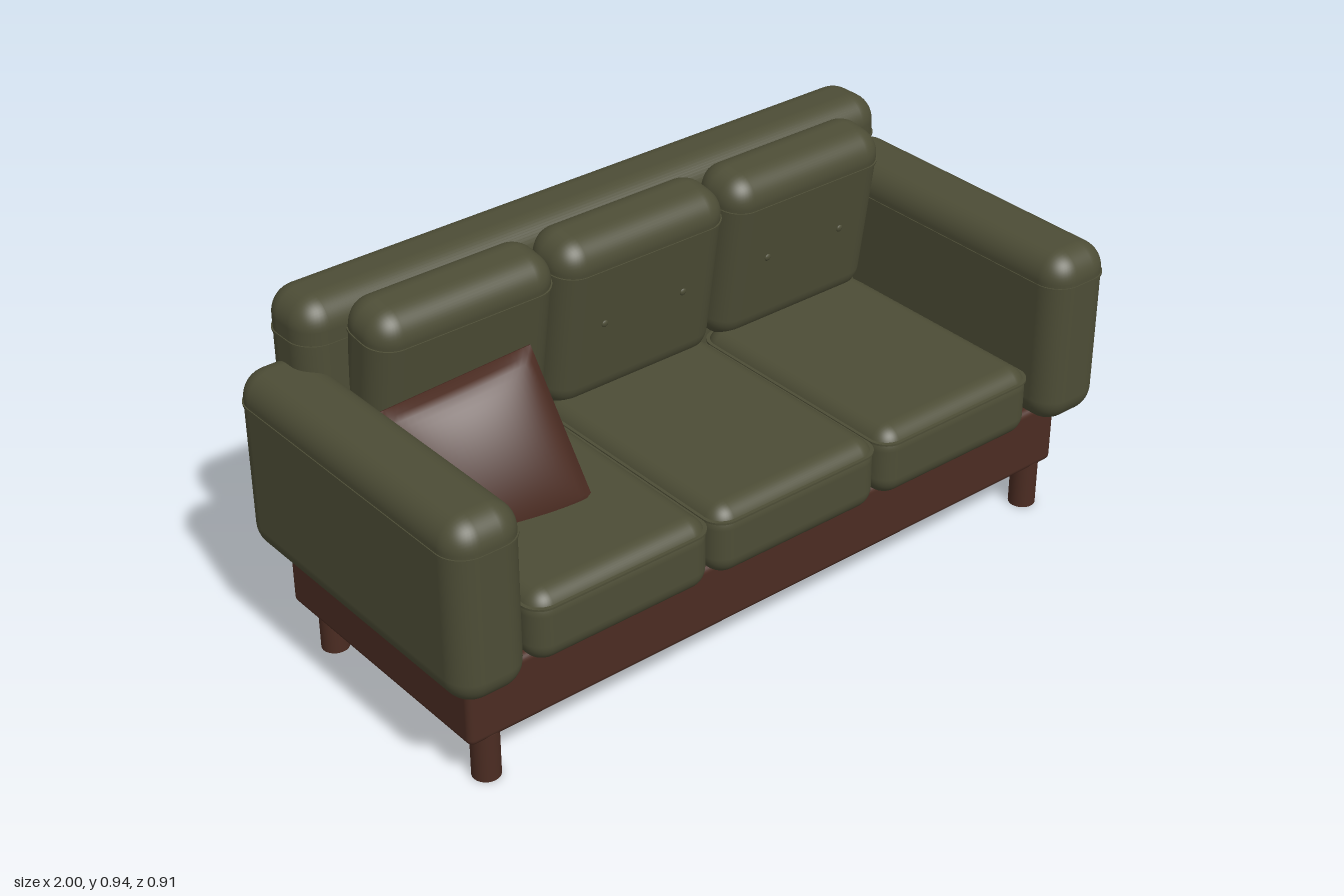
import * as THREE from 'three';
import { RoundedBoxGeometry } from 'three/addons/geometries/RoundedBoxGeometry.js';

const olive = new THREE.MeshStandardMaterial({ color: 0x4d4d36 });
olive.name = 'olive fabric';
const brown = new THREE.MeshStandardMaterial({ color: 0x4b2c22 });
brown.name = 'brown leather and wood';

function mesh(name, geometry, material, x = 0, y = 0, z = 0) {
  const m = new THREE.Mesh(geometry, material);
  m.name = name;
  m.position.set(x, y, z);
  return m;
}

// thin horizontal welt that follows a rounded rectangle
function welt(w, d, r) {
  const a = w / 2, b = d / 2;
  const s = new THREE.Shape();
  s.moveTo(-a + r, -b);
  s.lineTo(a - r, -b);
  s.absarc(a - r, -b + r, r, -Math.PI / 2, 0);
  s.absarc(a - r, b - r, r, 0, Math.PI / 2);
  s.absarc(-a + r, b - r, r, Math.PI / 2, Math.PI);
  s.absarc(-a + r, -b + r, r, Math.PI, Math.PI * 1.5);
  const g = new THREE.ExtrudeGeometry(s, { depth: 0.005, bevelEnabled: false, curveSegments: 8 });
  g.rotateX(-Math.PI / 2);
  return g;
}

// soft upholstered block with a welt at local height seamY
function upholstery(name, w, h, d, r, seamY) {
  const g = new THREE.Group();
  g.name = name;
  g.add(mesh(name + 'Body', new RoundedBoxGeometry(w, h, d, 6, r), olive));
  g.add(mesh(name + 'Welt', welt(w + 0.005, d + 0.005, r), olive, 0, seamY, 0));
  return g;
}

// square pillow: a box whose faces swell towards the middle
function pillowGeometry(size, halfThickness) {
  const g = new THREE.BoxGeometry(size, size, 0.01, 24, 24, 1);
  const p = g.attributes.position;
  for (let i = 0; i < p.count; i++) {
    const u = p.getX(i) / (size / 2), v = p.getY(i) / (size / 2);
    const swell = Math.pow(Math.max(0, (1 - u * u) * (1 - v * v)), 0.45);
    p.setZ(i, Math.sign(p.getZ(i)) * (0.004 + halfThickness * swell));
  }
  g.computeVertexNormals();
  return g;
}

export function createModel() {
  const sofa = new THREE.Group();
  sofa.name = 'sofa';

  // plinth and legs
  sofa.add(mesh('base', new RoundedBoxGeometry(1.855, 0.185, 0.73, 4, 0.018), brown, 0, 0.2125, 0.005));
  for (const x of [-0.865, 0.865]) {
    for (const z of [0.335, -0.285]) {
      sofa.add(mesh('leg', new THREE.CylinderGeometry(0.035, 0.035, 0.13, 24), brown, x, 0.065, z));
    }
  }

  // arms
  for (const side of [-1, 1]) {
    const arm = upholstery(side > 0 ? 'leftArm' : 'rightArm', 0.195, 0.48, 0.88, 0.07, 0.157);
    arm.position.set(side * 0.9, 0.53, 0.015);
    sofa.add(arm);
  }

  // backrest
  const back = upholstery('backrest', 1.775, 0.65, 0.187, 0.07, 0.217);
  back.position.set(0, 0.615, -0.361);
  sofa.add(back);

  // three seat cushions and three buttoned back cushions
  for (const i of [-1, 0, 1]) {
    const x = i * 0.52 - 0.002;
    const seat = upholstery('seatCushion', 0.512, 0.19, 0.69, 0.055, 0.06);
    seat.position.set(x, 0.386, 0.08);
    sofa.add(seat);

    const cushion = upholstery('backCushion', 0.515, 0.48, 0.175, 0.07, 0.158);
    for (const bx of [-0.122, 0.122]) {
      const button = mesh('button', new THREE.SphereGeometry(0.01, 12, 8), olive, bx, 0, 0.087);
      button.scale.z = 0.5;
      cushion.add(button);
    }
    cushion.position.set(x, 0.694, -0.243);
    cushion.rotation.x = 0.15;
    sofa.add(cushion);
  }

  // loose pillow leaning in the right corner
  const pillow = mesh('throwPillow', pillowGeometry(0.4, 0.07), brown, -0.622, 0.591, 0.033);
  const ax = new THREE.Vector3(0.955, 0.202, 0.215).normalize();
  const az = ax.clone().cross(new THREE.Vector3(-0.12, 0.868, -0.48)).normalize();
  const ay = az.clone().cross(ax);
  pillow.quaternion.setFromRotationMatrix(new THREE.Matrix4().makeBasis(ax, ay, az));
  sofa.add(pillow);

  return sofa;
}
